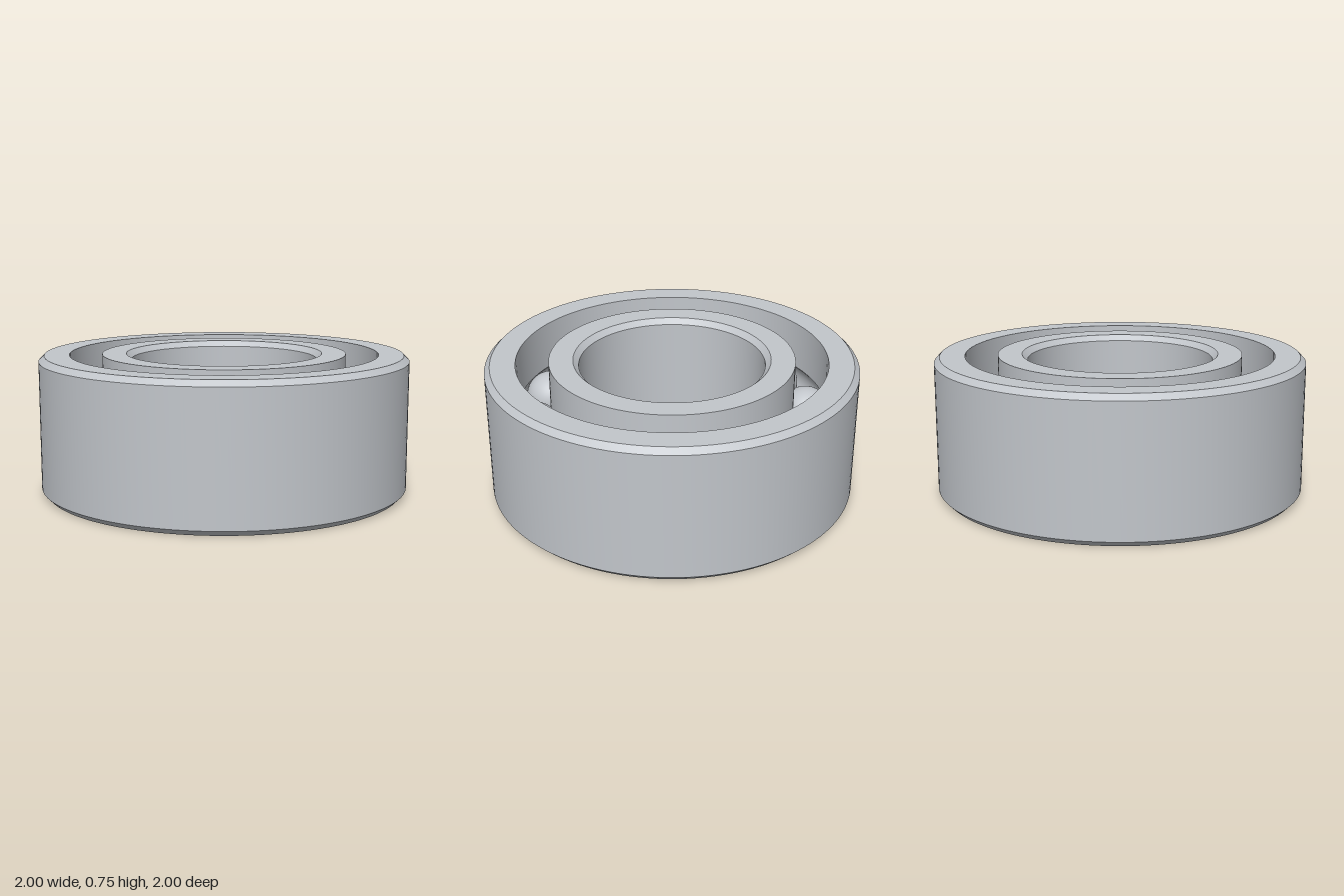
import * as THREE from 'three';
import { toCreasedNormals } from 'three/addons/utils/BufferGeometryUtils.js';

const HEIGHT = 0.75, MID = HEIGHT / 2, CHAMFER = 0.03;
const BORE = 0.5, INNER_WALL = 0.66, OUTER_WALL = 0.835, RIM = 1;
const PITCH = 0.748, BALL = 0.138, GROOVE = 0.14, BALL_COUNT = 12;

// Arc of the ball groove where it cuts into a wall; side is +1 for the outer ring, -1 for the inner
function grooveArc(wall, side) {
  const half = Math.acos(Math.abs(wall - PITCH) / GROOVE);
  const points = [];
  for (let i = 0; i <= 16; i++) {
    const a = side * half * (1 - i / 8) * -1;
    // outer ring runs downwards, inner ring runs upwards
    points.push([PITCH + side * GROOVE * Math.cos(a), MID - Math.sin(a)* GROOVE]);
  }
  return points;
}

// Revolve a closed counter-clockwise profile, keeping its corners sharp
function ring(name, profile, material) {
  const points = [...profile, profile[0]].map(([r, y]) => new THREE.Vector2(r, y));
  const geometry = toCreasedNormals(new THREE.LatheGeometry(points, 128), Math.PI / 6);
  const mesh = new THREE.Mesh(geometry, material);
  mesh.name = name;
  return mesh;
}

export function createModel() {
  const model = new THREE.Group();
  model.name = 'ballBearing';
  const steel = new THREE.MeshStandardMaterial({ color: 0xc2c6cb });
  steel.name = 'steel';

  // Outer race, chamfered at the rim and grooved inside
  const outerArc = grooveArc(OUTER_WALL, 1).sort((a, b) => b[1] - a[1]);
  model.add(ring('outerRace', [
    [OUTER_WALL, 0], [RIM - CHAMFER, 0], [RIM, CHAMFER],
    [RIM, HEIGHT - CHAMFER], [RIM - CHAMFER, HEIGHT], [OUTER_WALL, HEIGHT],
    ...outerArc,
  ], steel));

  // Inner race, chamfered at the bore and grooved outside
  const innerArc = grooveArc(INNER_WALL, -1).sort((a, b) => a[1] - b[1]);
  model.add(ring('innerRace', [
    [BORE + CHAMFER, 0], [INNER_WALL, 0],
    ...innerArc,
    [INNER_WALL, HEIGHT], [BORE + CHAMFER, HEIGHT],
    [BORE, HEIGHT - CHAMFER], [BORE, CHAMFER],
  ], steel));

  // Balls evenly spaced in the groove
  const balls = new THREE.Group();
  balls.name = 'balls';
  const ballGeometry = new THREE.SphereGeometry(BALL, 40, 28);
  for (let i = 0; i < BALL_COUNT; i++) {
    const a = (i / BALL_COUNT) * Math.PI * 2;
    const ball = new THREE.Mesh(ballGeometry, steel);
    ball.name = 'ball';
    ball.position.set(Math.cos(a) * PITCH, MID, Math.sin(a) * PITCH);
    balls.add(ball);
  }
  model.add(balls);
  return model;
}
